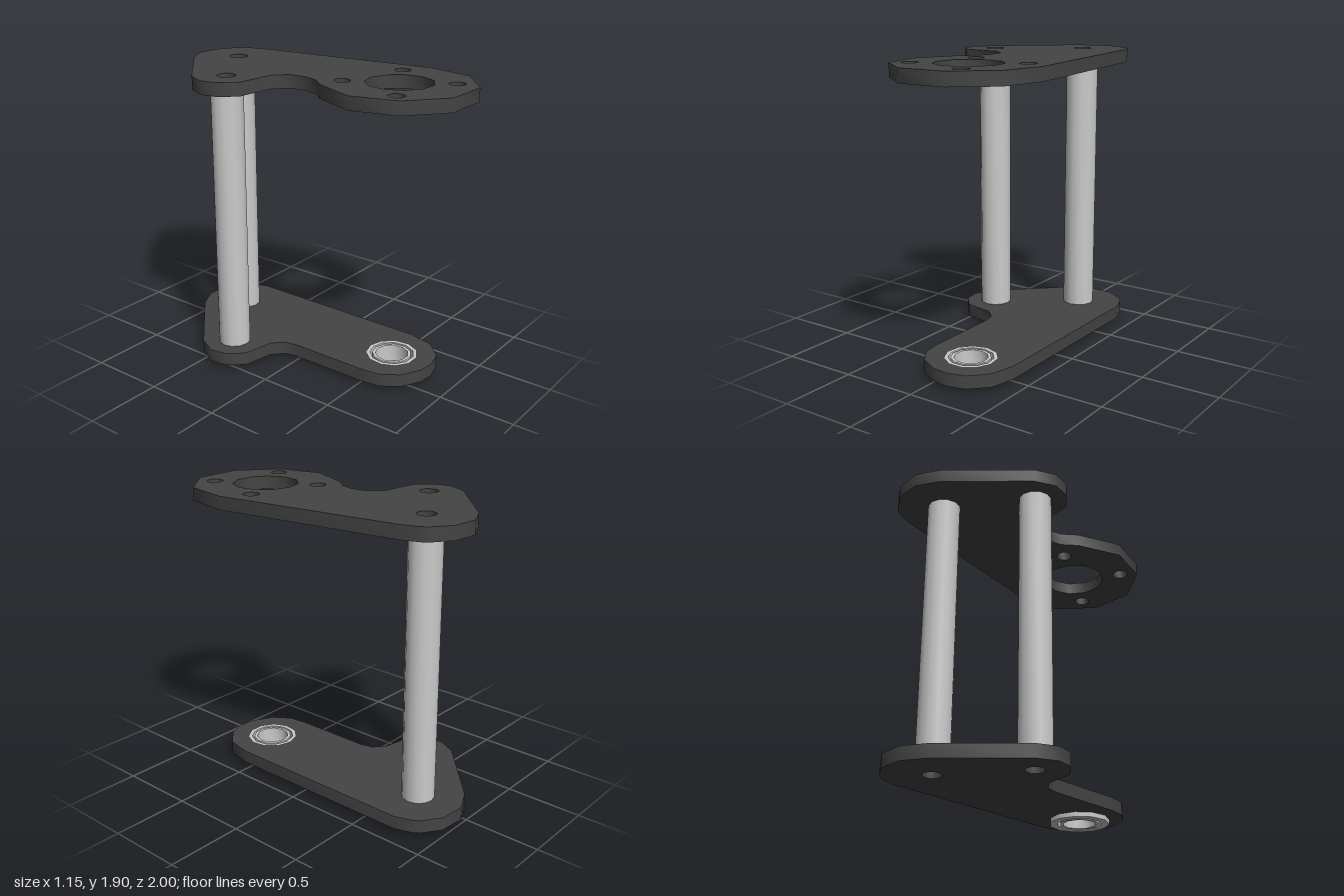
import * as THREE from 'three';
import { toCreasedNormals } from 'three/addons/utils/BufferGeometryUtils.js';

const dark = new THREE.MeshStandardMaterial({ color: 0x444444 });
const grey = new THREE.MeshStandardMaterial({ color: 0xcccccc });

// Regular polygon ring of [x, z] points, clockwise in plan from the back
function ring(x, z, r, sides) {
  return Array.from({ length: sides }, (_, i) => {
    const a = (i / sides) * Math.PI * 2;
    return [x + r * Math.sin(a), z - r * Math.cos(a)];
  });
}

// Upright prism from a clockwise plan outline with holes, between two heights
function prism(name, outline, holes, y0, y1, material) {
  const toPoints = (pts) => pts.map(([x, z]) => new THREE.Vector2(x, -z));
  const shape = new THREE.Shape(toPoints(outline));
  // holes run the opposite way round, so their walls face inwards
  shape.holes = holes.map((h) => new THREE.Path(toPoints(h).reverse()));
  const geo = new THREE.ExtrudeGeometry(shape, { depth: y1 - y0, bevelEnabled: false });
  geo.rotateX(-Math.PI / 2).translate(0, y0, 0);
  const mesh = new THREE.Mesh(toCreasedNormals(geo, 0.75), material);
  mesh.name = name;
  return mesh;
}

export function createModel() {
  const model = new THREE.Group();
  model.name = 'motorBracket';

  const posts = [[-0.37, -0.375], [0.115, -0.71]];
  const [cx, cz] = [0.115, 0.56];
  const postHoles = posts.map(([x, z]) => ring(x, z, 0.06, 12));

  // Rear outline shared by both plates, from the notch round to the right side
  const rear = [
    [-0.455, -0.185], [-0.48, -0.2], [-0.555, -0.285], [-0.575, -0.4], [-0.51, -0.53],
    [-0.085, -0.925], [0.06, -1], [0.23, -0.985], [0.35, -0.9], [0.375, -0.86], [0.41, -0.75],
  ];

  // Top plate with large opening, four screw holes and the deeper notch
  const topFront = [
    [0.575, 0.49], [0.515, 0.795], [0.28, 0.995], [-0.03, 1], [-0.27, 0.805], [-0.345, 0.51],
    [-0.22, 0.22], [-0.14, 0.13], [-0.11, 0.03], [-0.12, -0.085], [-0.205, -0.165],
  ];
  const screwHoles = [[-0.055, 0.26], [0.41, 0.385], [0.285, 0.845], [-0.18, 0.725]]
    .map(([x, z]) => ring(x, z, 0.052, 12));
  model.add(prism('topPlate', [...rear, ...topFront],
    [...postHoles, ...screwHoles, ring(cx, cz - 0.005, 0.21, 11)], 1.82, 1.905, dark));

  // Bottom plate with a narrower rounded nose
  const bottomFront = [
    [0.41, 0.53], [0.37, 0.7], [0.26, 0.81], [0.15, 0.84], [0.04, 0.83], [-0.09, 0.76],
    [-0.165, 0.65], [-0.18, 0.53], [-0.18, 0], [-0.2, -0.085], [-0.27, -0.15],
  ];
  model.add(prism('bottomPlate', [...rear, ...bottomFront],
    [...postHoles, ring(cx, cz, 0.165, 11)], 0.03, 0.115, dark));

  // Hollow spacer posts
  for (const [x, z] of posts) {
    model.add(prism('spacerPost', ring(x, z, 0.104, 12), [ring(x, z, 0.054, 12)], 0.115, 1.82, grey));
  }

  // Flanged bearing: flange, outer race and inner race
  const bearing = new THREE.Group();
  bearing.name = 'bearing';
  const bore = ring(cx, cz, 0.143, 11);
  bearing.add(
    prism('bearingFlange', ring(cx, cz, 0.195, 11), [bore], 0, 0.03, grey),
    prism('outerRace', ring(cx, cz, 0.165, 11), [bore], 0.03, 0.115, grey),
    prism('innerRace', ring(cx, cz, 0.127, 11), [ring(cx, cz, 0.107, 11)], 0, 0.115, grey),
  );
  model.add(bearing);
  return model;
}
